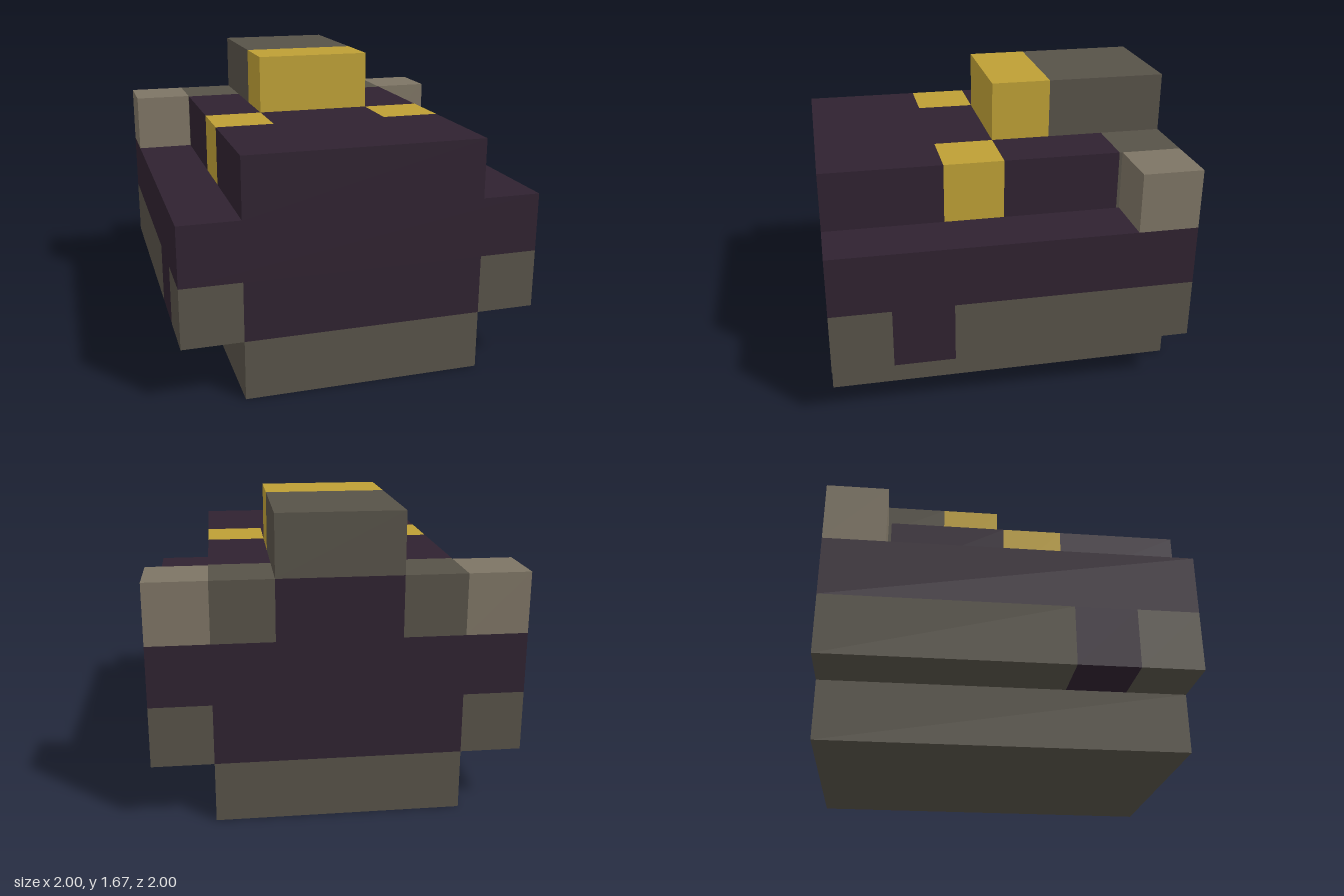
import * as THREE from 'three';

const U = 1 / 3; // one block

export function createModel() {
  const model = new THREE.Group();
  model.name = 'blockVehicle';

  const mat = (name, color) => {
    const m = new THREE.MeshStandardMaterial({ color });
    m.name = name;
    return m;
  };
  const hull = mat('dark plum', 0x2f2230);
  const grey = mat('stone grey', 0x575248);
  const pale = mat('pale stone', 0x7d7464);
  const gold = mat('gold', 0xbd9f35);

  // Box between two corners, given in block units
  function block(name, material, [x0, x1], [y0, y1], [z0, z1]) {
    const geo = new THREE.BoxGeometry((x1 - x0) * U, (y1 - y0) * U, (z1 - z0) * U);
    const mesh = new THREE.Mesh(geo, material);
    mesh.position.set((x0 + x1) * U / 2, (y0 + y1) * U / 2, (z0 + z1) * U / 2);
    mesh.name = name;
    model.add(mesh);
  }
  // The same box on both sides
  function pair(name, material, [x0, x1], y, z) {
    block(name + 'Left', material, [x0, x1], y, z);
    block(name + 'Right', material, [-x1, -x0], y, z);
  }

  // Undercarriage and main hull
  block('base', grey, [-2, 2], [0, 1], [-3, 3]);
  block('lowerHull', hull, [-2, 2], [1, 2], [-3, 3]);
  block('middleHull', hull, [-3, 3], [2, 3], [-3, 3]);

  // Side skirts, split by a dark strut
  pair('frontSkirt', grey, [2, 3], [1, 2], [2, 3]);
  pair('skirtStrut', hull, [2, 3], [1, 2], [1, 2]);
  pair('rearSkirt', grey, [2, 3], [1, 2], [-3, 1]);

  // Upper deck: front slab, centre spine and inlaid side blocks
  block('frontDeck', hull, [-2, 2], [3, 4], [1, 3]);
  block('deckSpine', hull, [-1, 1], [3, 4], [-3, 1]);
  pair('goldDeckBlock', gold, [1, 2], [3, 4], [0, 1]);
  pair('sideDeck', hull, [1, 2], [3, 4], [-1.95, 0]);
  pair('rearDeckBlock', grey, [1, 2], [3, 4], [-3, -1.95]);
  pair('rearCornerBlock', pale, [2, 3], [3, 4], [-3, -2]);

  // Raised cabin
  block('cabin', grey, [-1, 1], [4, 5], [-3, -1]);
  block('cabinFront', gold, [-1, 1], [4, 5], [-1, 0]);

  return model;
}
